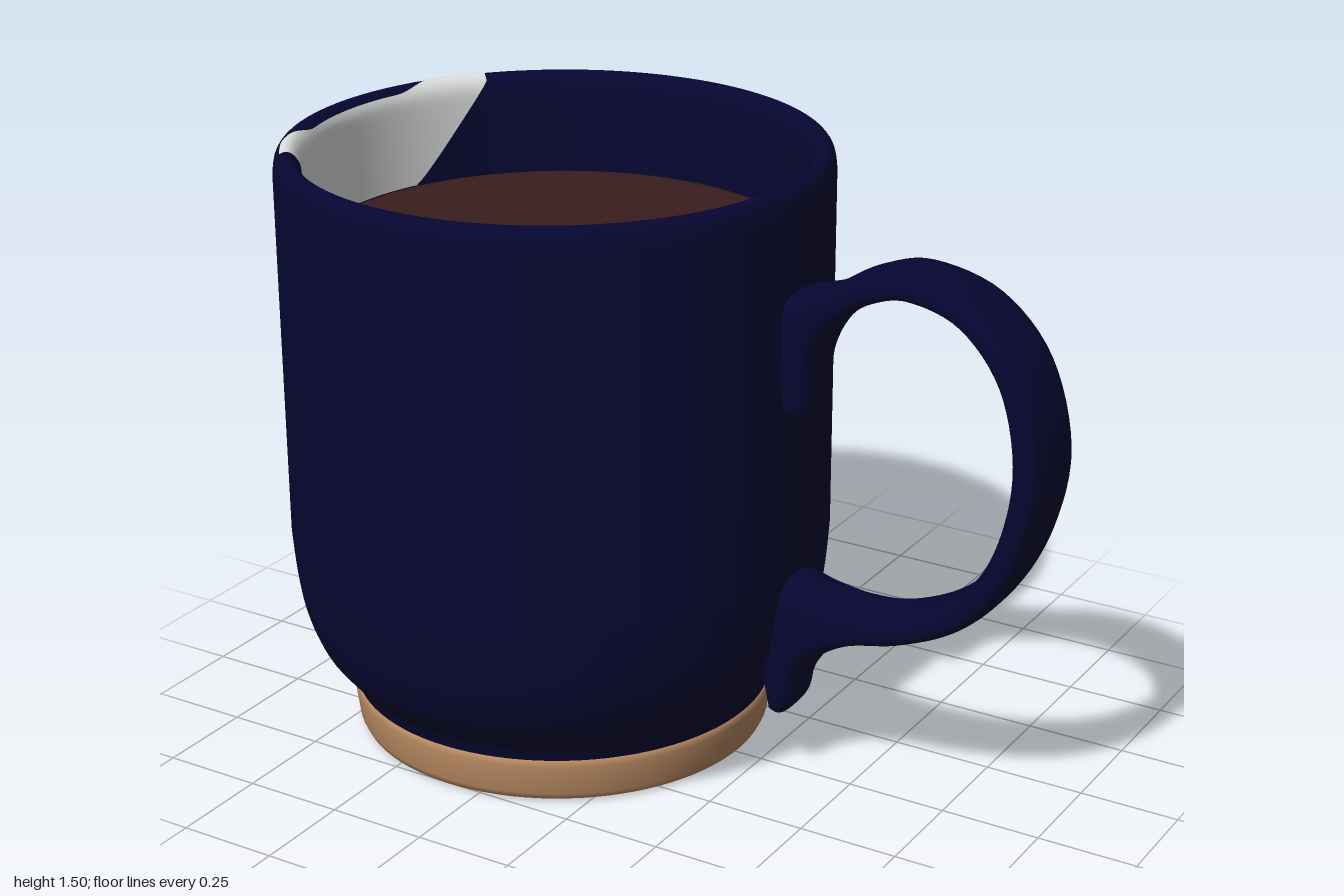
import * as THREE from 'three';
import { mergeVertices } from 'three/addons/utils/BufferGeometryUtils.js';

const CX = -0.33; // cup axis

const material = (name, color, side = THREE.FrontSide) => {
  const m = new THREE.MeshStandardMaterial({ color, side });
  m.name = name;
  return m;
};
const v2 = (pts) => pts.map(([x, y]) => new THREE.Vector2(x, y));
const spline = (pts, n) => new THREE.SplineCurve(v2(pts)).getPoints(n);

// Inner wall and rounded lip, from the drink up to the outer wall
const LIP = [[0.602, 1.22], [0.603, 1.36], [0.605, 1.45], [0.611, 1.475], [0.624, 1.492],
  [0.639, 1.498], [0.654, 1.493], [0.665, 1.475], [0.67, 1.44]];
const OUTER = [[0.525, 0.115], [0.532, 0.135], [0.545, 0.16], [0.58, 0.2], [0.615, 0.25],
  [0.645, 0.33], [0.661, 0.42], [0.671, 0.54]];
const FOOT = [[0, 0], [0.48, 0], [0.5, 0.001], [0.514, 0.008], [0.522, 0.025], [0.528, 0.07],
  [0.531, 0.1], [0.529, 0.117], [0.52, 0.118]];
const DRINK = [[0.606, 1.236], [0.595, 1.241], [0.575, 1.246], [0.54, 1.25], [0, 1.25]];
const SEAM = [[0.533, 0.106], [0.534, 0.118], [0.537, 0.13]];

// Grid whose vertices are placed by a rule of (u, v), welded for smooth normals
function surface(nu, nv, place) {
  const g = new THREE.PlaneGeometry(1, 1, nu, nv);
  const p = g.attributes.position;
  for (let j = 0; j <= nv; j++) {
    for (let i = 0; i <= nu; i++) {
      const q = place(i / nu, j / nv);
      p.setXYZ(j * (nu + 1) + i, q.x, q.y, q.z);
    }
  }
  g.deleteAttribute('uv');
  g.deleteAttribute('normal');
  const welded = mergeVertices(g, 1e-5);
  welded.computeVertexNormals();
  return welded;
}

// Handle sections: inner edge x, y, outer edge x, y, half width
const HANDLE = [
  [0.375, 0.945, 0.31, 0.945, 0.055], [0.395, 0.98, 0.29, 0.98, 0.075],
  [0.402, 1.06, 0.29, 1.1, 0.083], [0.412, 1.11, 0.3, 1.22, 0.085],
  [0.435, 1.165, 0.36, 1.258, 0.085], [0.475, 1.215, 0.43, 1.278, 0.085],
  [0.55, 1.265, 0.52, 1.33, 0.087], [0.65, 1.29, 0.64, 1.36, 0.092],
  [0.78, 1.255, 0.81, 1.312, 0.1], [0.88, 1.14, 0.94, 1.175, 0.107],
  [0.92, 0.97, 1.0, 0.96, 0.11], [0.9, 0.8, 0.97, 0.765, 0.107],
  [0.84, 0.66, 0.895, 0.61, 0.1], [0.75, 0.57, 0.79, 0.505, 0.092],
  [0.62, 0.51, 0.65, 0.437, 0.088], [0.51, 0.5, 0.52, 0.4, 0.086],
  [0.42, 0.516, 0.435, 0.35, 0.085], [0.34, 0.533, 0.39, 0.295, 0.084],
  [0.29, 0.45, 0.37, 0.25, 0.082], [0.28, 0.3, 0.36, 0.205, 0.079],
  [0.295, 0.19, 0.34, 0.175, 0.066],
];

function handleGeometry() {
  const inner = new THREE.CatmullRomCurve3(
    HANDLE.map((h) => new THREE.Vector3(h[0], h[1], h[4])), false, 'catmullrom');
  const outer = new THREE.CatmullRomCurve3(
    HANDLE.map((h) => new THREE.Vector3(h[2], h[3], h[4])), false, 'catmullrom');
  const rows = 122;
  const soft = (c) => Math.sign(c) * Math.pow(Math.abs(c), 0.65);
  return surface(28, rows, (u, v) => {
    const row = Math.round(v * rows);
    const t = THREE.MathUtils.clamp((row - 1) / (rows - 2), 0, 1);
    const closed = row === 0 || row === rows ? 0 : 1; // end rings shrink to a point
    const a = inner.getPoint(t);
    const b = outer.getPoint(t);
    const angle = (u % 1) * Math.PI * 2;
    const c = soft(Math.cos(angle)) * 0.5 * closed;
    return new THREE.Vector3(
      (a.x + b.x) / 2 + (b.x - a.x) * c,
      (a.y + b.y) / 2 + (b.y - a.y) * c,
      -a.z * soft(Math.sin(angle)) * closed);
  });
}

// Pale patch on the inner wall, widening toward the rim, its ends running over the lip
function patchGeometry() {
  const curve = new THREE.SplineCurve(v2([[0.602, 1.238], ...LIP.slice(1, 7)]));
  const half = THREE.MathUtils.degToRad(40);
  return surface(64, 20, (u, v) => {
    const t = u * 2 - 1;
    const edge = Math.max(0, (Math.abs(t) - 0.5) / 0.5);
    const low = 0.84 * Math.pow(edge, 1.2);
    const high = 0.84 + 0.16 * THREE.MathUtils.smoothstep(Math.abs(t), 0.4, 0.8);
    const p = curve.getPointAt(low + (high - low) * v);
    const r = p.x - 0.003;
    return new THREE.Vector3(-r * Math.cos(t * half), p.y + 0.004, r * Math.sin(t * half));
  });
}

export function createModel() {
  const glaze = material('navy glaze', 0x060632);
  const clay = material('bare clay', 0xb98a62);
  const drink = material('brown drink', 0x3a1d1d);
  const rust = material('rust brown', 0x55301f);
  const pale = material('pale grey', 0xdcdfdd, THREE.DoubleSide);

  const model = new THREE.Group();
  model.name = 'mug';
  const add = (name, geometry, mat, x = CX) => {
    const mesh = new THREE.Mesh(geometry, mat);
    mesh.name = name;
    mesh.position.x = x;
    model.add(mesh);
  };

  // Cup wall: outside, over the lip and down to the drink
  const wall = [...spline(OUTER, 28), ...spline(LIP, 40).reverse()];
  add('cupBody', new THREE.LatheGeometry(wall, 96), glaze);
  add('foot', new THREE.LatheGeometry(v2(FOOT), 96), clay);
  add('drink', new THREE.LatheGeometry(v2(DRINK), 96), drink);
  // Thin glaze break around the back of the foot
  add('footSeam', new THREE.LatheGeometry(v2(SEAM), 40, Math.PI - 0.9, 1.7), rust);
  add('innerPatch', patchGeometry(), pale);
  add('handle', handleGeometry(), glaze, 0);
  return model;
}
